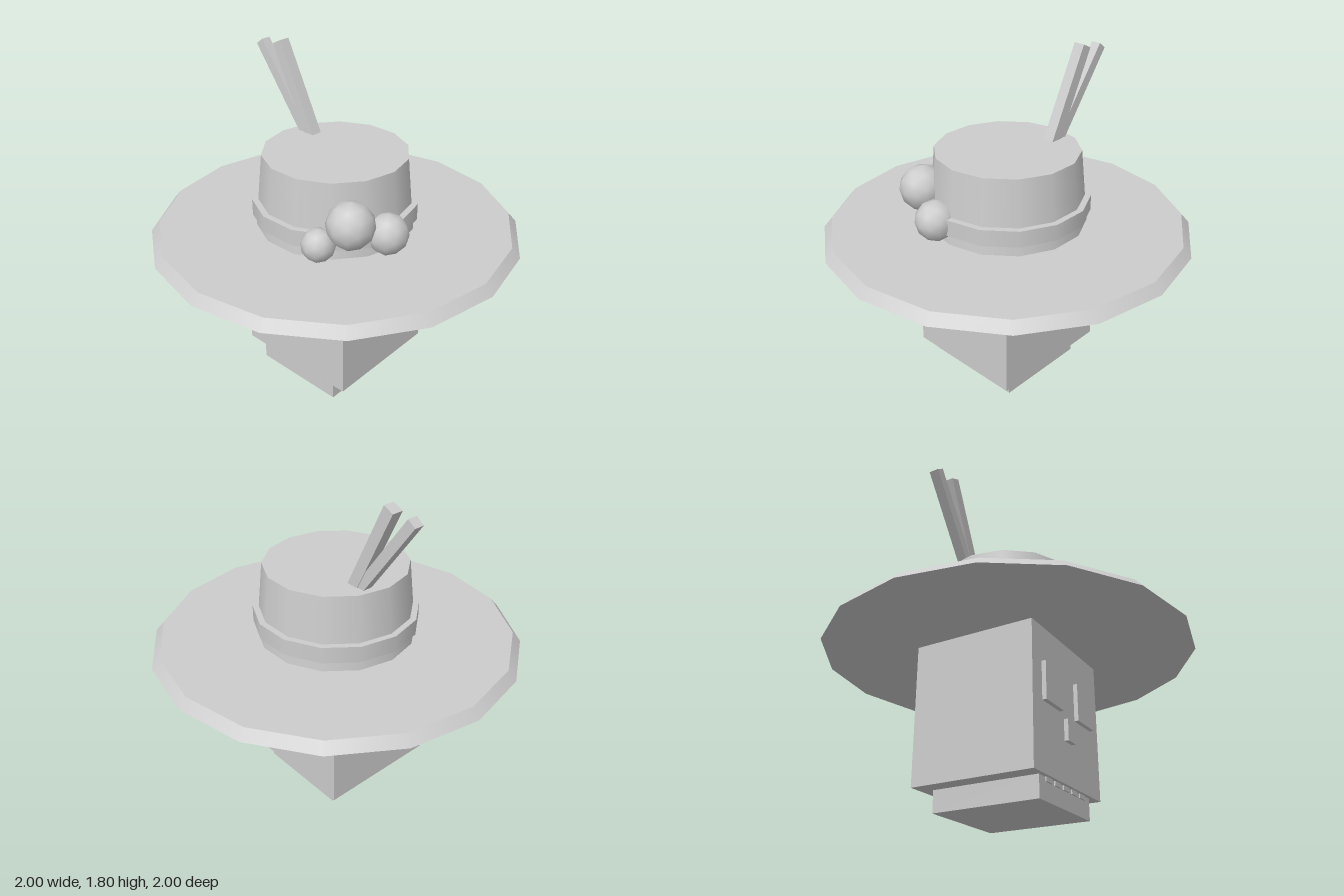
import * as THREE from 'three';

export function createModel() {
  const model = new THREE.Group();
  const grey = new THREE.MeshStandardMaterial({ color: 0xcccccc });
  grey.name = 'light grey';

  const add = (name, geometry) => {
    const mesh = new THREE.Mesh(geometry, grey);
    mesh.name = name;
    model.add(mesh);
    return mesh;
  };
  // box given by its lower and upper corners
  const box = (name, x0, x1, y0, y1, z0, z1) =>
    add(name, new THREE.BoxGeometry(x1 - x0, y1 - y0, z1 - z0))
      .position.set((x0 + x1) / 2, (y0 + y1) / 2, (z0 + z1) / 2);
  // round part between two heights, with a corner on the x axis
  const round = (name, rTop, rBottom, y0, y1, sides) => {
    const mesh = add(name, new THREE.CylinderGeometry(rTop, rBottom, y1 - y0, sides));
    mesh.position.y = (y0 + y1) / 2;
    mesh.rotation.y = Math.PI / 2;
  };

  // head and jaw
  box('head', -0.362, 0.362, 0.115, 0.875, -0.338, 0.343);
  box('jaw', -0.27, 0.27, 0, 0.12, -0.27, 0.32);
  for (let i = -2; i <= 2; i++) {
    box('tooth', i * 0.09 - 0.03, i * 0.09 + 0.03, 0.092, 0.13, 0.31, 0.327);
  }

  // raised face details
  for (const side of [-1, 1]) {
    const x = side * 0.175;
    box('eye', x - 0.092, x + 0.092, 0.472, 0.675, 0.33, 0.366);
  }
  box('nose', -0.04, 0.04, 0.332, 0.445, 0.33, 0.366);

  // hat
  round('hatBrim', 0.955, 1, 0.868, 0.92, 16);
  round('hatCrown', 0.388, 0.43, 0.915, 1.322, 14);
  round('hatBand', 0.447, 0.447, 0.98, 1.07, 14);

  // cluster of three balls on the band
  for (const [x, y, z, r] of [
    [0.35, 1.125, 0.28, 0.125],
    [0.432, 1.03, 0.093, 0.11],
    [0.247, 1.028, 0.4, 0.088],
  ]) {
    add('hatBall', new THREE.IcosahedronGeometry(r, 1)).position.set(x, y, z);
  }

  // two sticks leaning out of the crown: tip x, tip y, lean, thickness, length
  for (const [x, y, lean, width, length] of [
    [-0.614, 1.762, 0.627, 0.054, 0.62],
    [-0.477, 1.786, 0.45, 0.062, 0.58],
  ]) {
    const stick = add('hatStick', new THREE.BoxGeometry(width, length, width));
    stick.rotation.z = lean;
    stick.position.set(x + Math.sin(lean) * length / 2, y - Math.cos(lean) * length / 2, -0.09);
  }

  return model;
}
